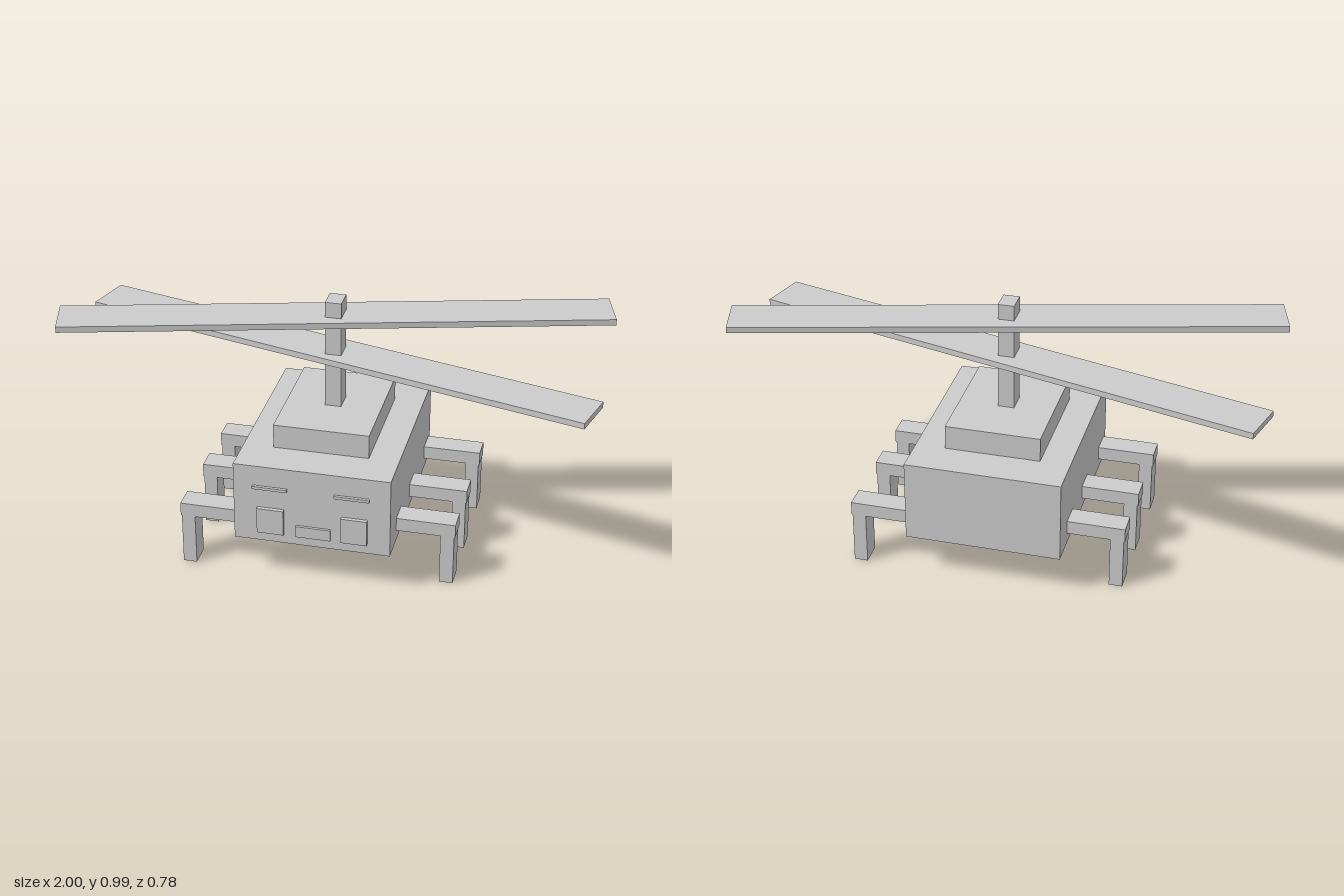
import * as THREE from 'three';

const material = new THREE.MeshStandardMaterial({ color: 0xcccccc, flatShading: true });

// Box given by its extents along each axis
function box(name, [x0, x1], [y0, y1], [z0, z1]) {
  const mesh = new THREE.Mesh(new THREE.BoxGeometry(x1 - x0, y1 - y0, z1 - z0), material);
  mesh.name = name;
  mesh.position.set((x0 + x1) / 2, (y0 + y1) / 2, (z0 + z1) / 2);
  return mesh;
}

// Horizontal arm reaching out from the body, with a vertical shin below its end
function makeLeg(name, side, z) {
  const leg = new THREE.Group();
  leg.name = name;
  const depth = [z - 0.044, z + 0.044];
  const span = (a, b) => (side > 0 ? [a, b] : [-b, -a]);
  leg.add(
    box('upperLeg', span(0.29, 0.511), [0.2, 0.252], depth),
    box('lowerLeg', span(0.456, 0.507), [0, 0.2], depth)
  );
  return leg;
}

function makeBlade(name, y, angle) {
  const blade = new THREE.Mesh(new THREE.BoxGeometry(2.024, 0.023, 0.176), material);
  blade.name = name;
  blade.position.set(0, y, -0.012);
  blade.rotation.y = angle;
  return blade;
}

export function createModel() {
  const model = new THREE.Group();
  model.name = 'rotorWalker';

  // Body, roof step and rotor mast
  model.add(
    box('body', [-0.294, 0.291], [0.157, 0.47], [-0.389, 0.375]),
    box('roof', [-0.181, 0.178], [0.47, 0.563], [-0.241, 0.227]),
    box('mast', [-0.032, 0.029], [0.563, 0.985], [-0.047, 0.034])
  );

  // Crossed rotor blades
  const tilt = THREE.MathUtils.degToRad(15);
  model.add(makeBlade('upperBlade', 0.914, tilt), makeBlade('lowerBlade', 0.764, -tilt));

  // Three legs per side, staggered front to back
  const rows = ['front', 'middle', 'rear'];
  [0.22, -0.025, -0.317].forEach((z, i) => model.add(makeLeg(rows[i] + 'LeftLeg', 1, z)));
  [0.3, 0.01, -0.235].forEach((z, i) => model.add(makeLeg(rows[i] + 'RightLeg', -1, z)));

  // Face: eyes, brows and mouth
  model.add(
    box('leftEye', [0.11, 0.207], [0.198, 0.3], [0.37, 0.39]),
    box('rightEye', [-0.205, -0.105], [0.198, 0.3], [0.37, 0.39]),
    box('leftBrow', [0.084, 0.214], [0.379, 0.39], [0.37, 0.386]),
    box('rightBrow', [-0.222, -0.092], [0.379, 0.39], [0.37, 0.386]),
    box('mouth', [-0.06, 0.07], [0.195, 0.24], [0.37, 0.385])
  );
  return model;
}
